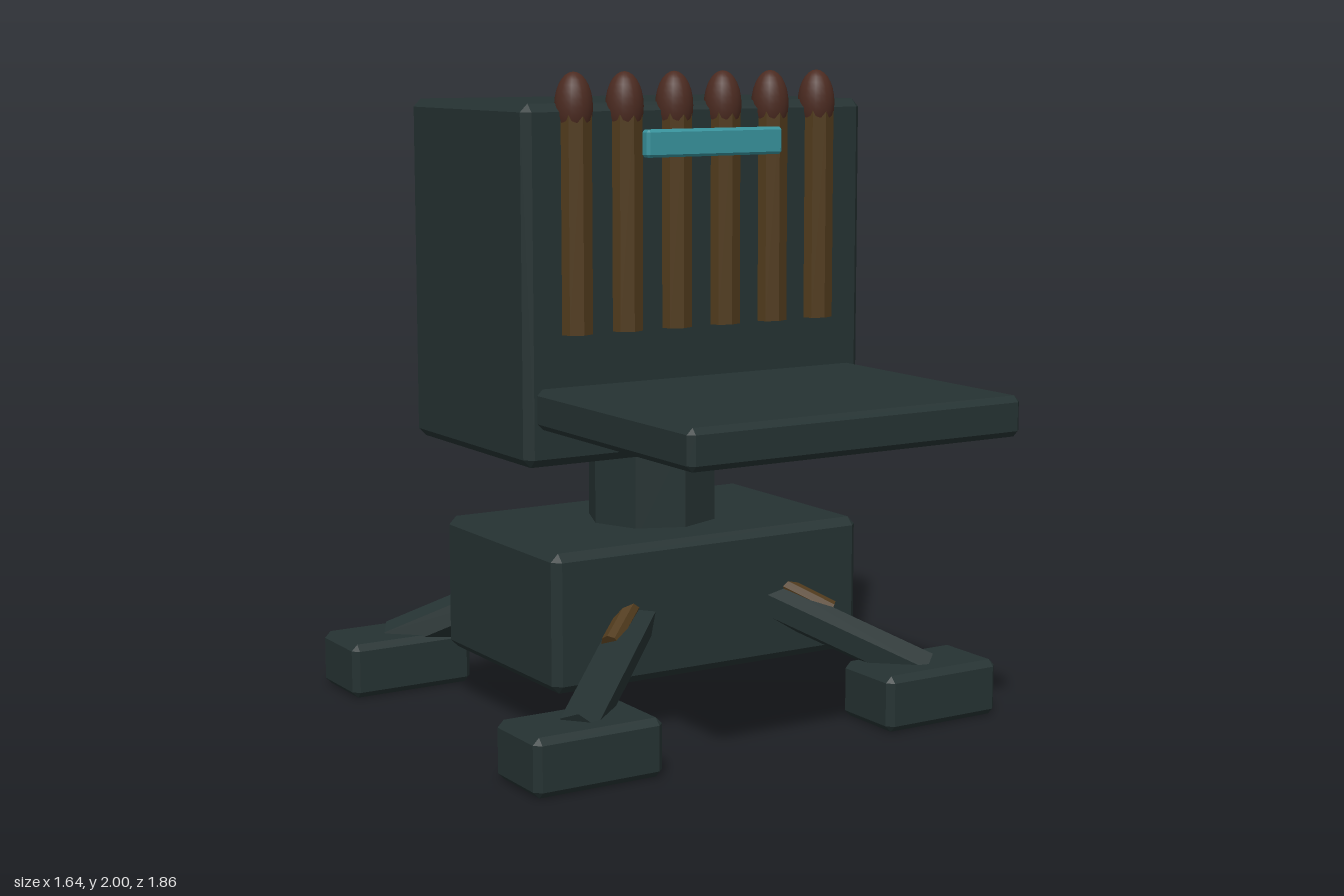
import * as THREE from 'three';
import { ConvexGeometry } from 'three/addons/geometries/ConvexGeometry.js';

const makeMaterial = (name, color, flatShading = true) => {
  const m = new THREE.MeshStandardMaterial({ color, flatShading });
  m.name = name;
  return m;
};

// Box with chamfered edges, given by its minimum and maximum corners
function chamferedBox(min, max, bevel) {
  const half = min.map((v, i) => (max[i] - v) / 2);
  const points = [];
  for (const sx of [-1, 1]) for (const sy of [-1, 1]) for (const sz of [-1, 1]) {
    for (let axis = 0; axis < 3; axis++) {
      const p = [sx, sy, sz].map((s, i) => s * (half[i] - (i === axis ? 0 : bevel)));
      points.push(new THREE.Vector3(...p));
    }
  }
  return new ConvexGeometry(points).translate(...min.map((v, i) => (v + max[i]) / 2));
}

// Straight rod between two points
function strut(a, b, radius, sides) {
  const dir = b.clone().sub(a);
  const turn = new THREE.Quaternion().setFromUnitVectors(new THREE.Vector3(0, 1, 0), dir.clone().normalize());
  const mid = a.clone().add(b).multiplyScalar(0.5);
  return new THREE.CylinderGeometry(radius, radius, dir.length(), sides)
    .applyQuaternion(turn).translate(mid.x, mid.y, mid.z);
}

export function createModel() {
  const model = new THREE.Group();
  model.name = 'launcherTurret';

  const steel = makeMaterial('dark steel', 0x253232);
  const brass = makeMaterial('brass', 0x503a1c);
  const copper = makeMaterial('copper', 0x4c2b21, false);
  const glow = makeMaterial('cyan', 0x38929c);

  const add = (name, geometry, material, parent = model) => {
    const mesh = new THREE.Mesh(geometry, material);
    mesh.name = name;
    parent.add(mesh);
    return mesh;
  };

  // Housing, loading tray, base and the neck between them
  add('housing', chamferedBox([-0.6, 0.845, -0.66], [0.6, 1.91, 0.09], 0.025), steel);
  add('tray', chamferedBox([-0.565, 0.96, 0.0], [0.565, 1.08, 0.93], 0.018), steel);
  add('base', chamferedBox([-0.55, 0.17, -0.555], [0.55, 0.595, 0.16], 0.025), steel);
  add('neck', new THREE.CylinderGeometry(0.205, 0.205, 0.32, 8).translate(0, 0.72, -0.2), steel);

  // Four splayed legs, mirrored about the centre of the base
  const centreZ = -0.197;
  for (const sx of [-1, 1]) for (const sz of [-1, 1]) {
    const leg = new THREE.Group();
    leg.name = `${sz > 0 ? 'front' : 'back'}${sx > 0 ? 'Left' : 'Right'}Leg`;
    model.add(leg);
    const at = (x, y, z) => new THREE.Vector3(sx * x, y, centreZ + sz * (z - centreZ));
    add('legStrut', strut(at(0.2, 0.383, 0.08), at(0.62, 0.142, 0.42), 0.064, 6), steel, leg);
    add('legPiston', strut(at(0.23, 0.43, 0.1), at(0.4, 0.325, 0.225), 0.03, 8), brass, leg);
    const z = [at(0, 0, 0.285).z, at(0, 0, 0.535).z].sort((a, b) => a - b);
    const x = [sx * 0.4, sx * 0.82].sort((a, b) => a - b);
    add('foot', chamferedBox([x[0], 0, z[0]], [x[1], 0.175, z[1]], 0.02), steel, leg);
  }

  // Row of six cartridges along the front of the housing
  for (let i = 0; i < 6; i++) {
    const cartridge = new THREE.Group();
    cartridge.name = `cartridge${i + 1}`;
    cartridge.position.set((i - 2.5) * 0.172, 0, 0.078);
    model.add(cartridge);
    add('casing', new THREE.CylinderGeometry(0.055, 0.055, 0.665, 8).translate(0, 1.5675, 0), brass, cartridge);
    add('tip', new THREE.SphereGeometry(0.057, 20, 14).scale(1, 1.78, 1).translate(0, 1.899, 0), copper, cartridge);
  }

  // Light bar in front of the cartridges
  add('lightBar', chamferedBox([-0.24, 1.75, 0.142], [0.236, 1.832, 0.182], 0.008), glow);

  return model;
}
